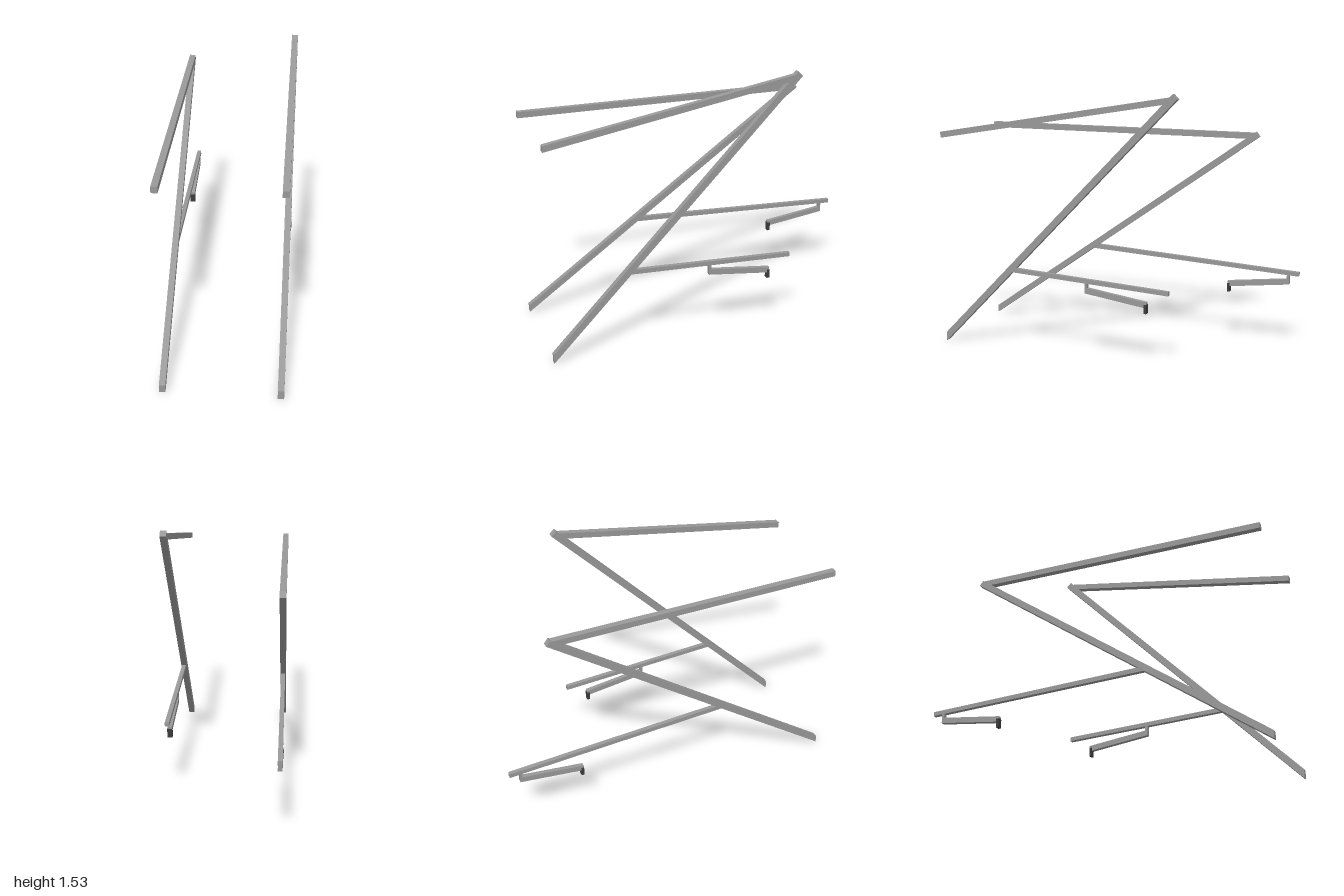
import * as THREE from 'three';

// Flat bar: side outline given as [z, y] corners, extruded across x and centred on x = 0
function bar(name, outline, width, material) {
  const shape = new THREE.Shape(outline.map(([z, y]) => new THREE.Vector2(z, y)));
  const geometry = new THREE.ExtrudeGeometry(shape, { depth: width, bevelEnabled: false });
  geometry.translate(0, 0, -width / 2);
  geometry.rotateY(-Math.PI / 2);
  const mesh = new THREE.Mesh(geometry, material);
  mesh.name = name;
  return mesh;
}

const rect = (z0, y0, z1, y1) => [[z0, y0], [z1, y0], [z1, y1], [z0, y1]];

export function createModel() {
  const steel = new THREE.MeshStandardMaterial({ color: 0x999999 });
  steel.name = 'grey steel';
  const rubber = new THREE.MeshStandardMaterial({ color: 0x3c3c3c });
  rubber.name = 'dark rubber';

  const model = new THREE.Group();
  model.name = 'foldingFrames';

  const frames = [
    {
      name: 'leftFrame', x: 0.32,
      leg: [[1, 0], [1, 0.053], [-0.438, 1.53], [-0.465, 1.503]],
      top: [[1, 1.235], [1, 1.27], [-0.447, 1.517], [-0.44, 1.482]],
      brace: [[0.56, 0.468], [0.545, 0.493], [-0.422, 0.447], [-0.422, 0.423]],
      hook: 0.082, dir: -1,
    },
    {
      name: 'rightFrame', x: -0.32,
      leg: [[1, 0.01], [1, 0.054], [-0.72, 1.276], [-0.742, 1.247]],
      top: rect(1, 1.235, -0.715, 1.27),
      brace: [[0.34, 0.502], [0.31, 0.528], [-1, 0.465], [-1, 0.441]],
      hook: -0.943, dir: 1,
    },
  ];

  for (const f of frames) {
    const frame = new THREE.Group();
    frame.name = f.name;
    frame.position.x = f.x;

    // Main members
    frame.add(bar('leg', f.leg, 0.035, steel));
    frame.add(bar('topRail', f.top, 0.035, steel));
    frame.add(bar('brace', f.brace, 0.025, steel));

    // Hanger, sloping arm and foot below the brace
    const z = (d) => f.hook + f.dir * d;
    frame.add(bar('hanger', rect(z(0), 0.39, z(0.014), 0.456), 0.025, steel));
    frame.add(bar('arm', [[z(0), 0.388], [z(0), 0.421], [z(0.375), 0.373], [z(0.375), 0.34]], 0.025, steel));
    frame.add(bar('foot', rect(z(0.36), 0.308, z(0.376), 0.36), 0.03, rubber));

    model.add(frame);
  }
  return model;
}
